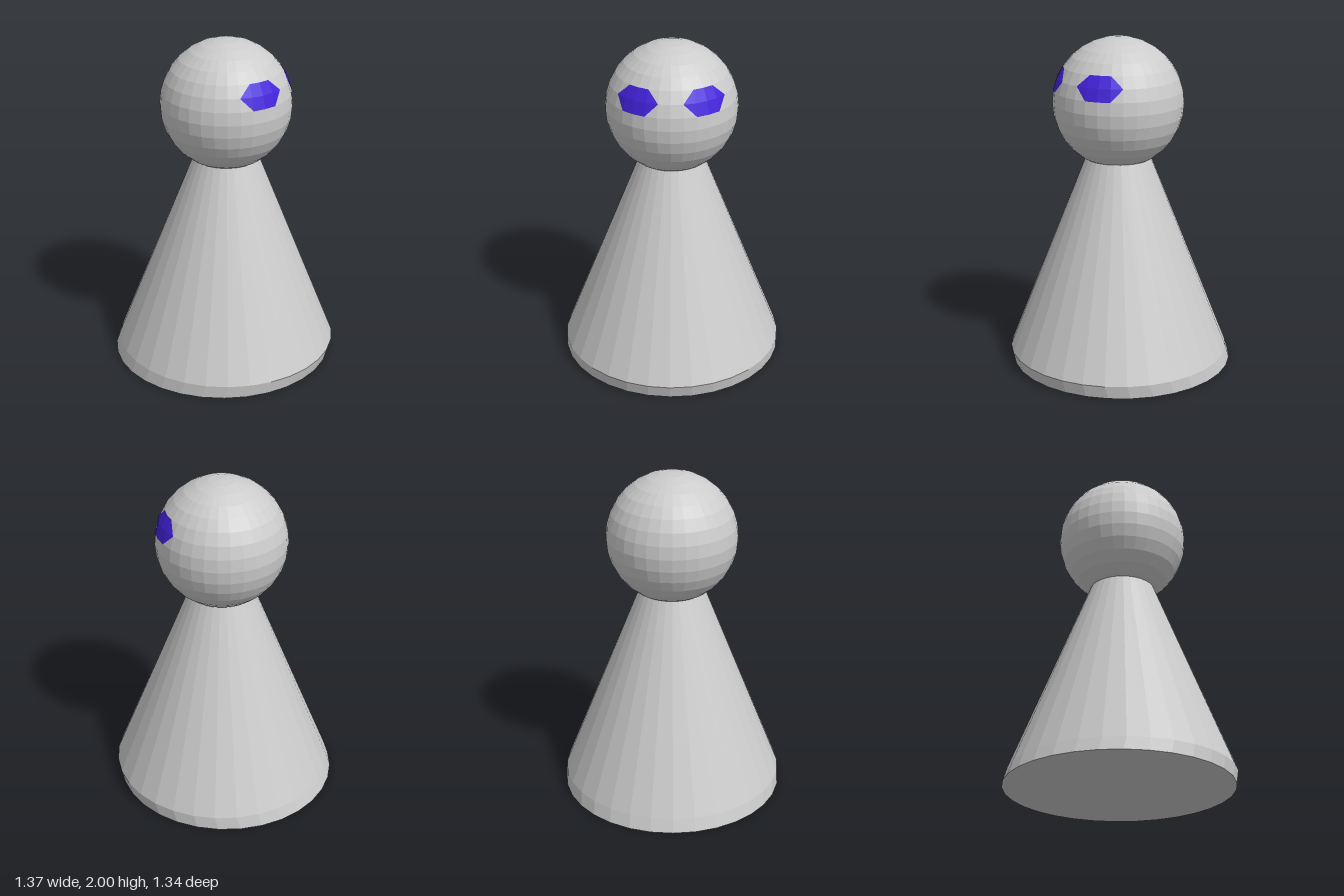
import * as THREE from 'three';

const SIDES = 32, STEP = Math.PI / 16;
const HEAD = { x: 0.0125, y: 1.61, r: 0.39 };

// Point on the head sphere; ring counts down from the pole, column turns from +x towards +z
function headPoint(ring, column, r) {
  const s = Math.sin(ring * STEP);
  return [r * s * Math.cos(column * STEP), r * Math.cos(ring * STEP), r * s * Math.sin(column * STEP)];
}

// Hexagonal patch lying on the head facets, two rings tall and four columns wide
function eyeGeometry() {
  const r = HEAD.r * 1.004, positions = [];
  const tri = (...corners) => corners.forEach(([ring, col]) => positions.push(...headPoint(ring, col, r)));
  for (const edge of [5, 7]) {
    tri([6, 1], [edge, 2], [6, 2]);
    tri([6, 4], [edge, 4], [6, 5]);
    for (const c of [2, 3]) {
      tri([6, c], [edge, c], [edge, c + 1]);
      tri([6, c], [edge, c + 1], [6, c + 1]);
    }
  }
  const geometry = new THREE.BufferGeometry();
  geometry.setAttribute('position', new THREE.Float32BufferAttribute(positions, 3));
  geometry.computeVertexNormals();
  return geometry;
}

export function createModel() {
  const model = new THREE.Group();
  const grey = new THREE.MeshStandardMaterial({ color: 0xcccccc, flatShading: true });
  const blue = new THREE.MeshStandardMaterial({ color: 0x4422dd, flatShading: true, side: THREE.DoubleSide });

  // Conical body with a short rim; the bottom ring is shifted sideways
  const profile = [[0, 0], [0.672, 0], [0.668, 0.08], [0.192, 1.285], [0, 1.285]]
    .map(([x, y]) => new THREE.Vector2(x, y));
  const bodyGeometry = new THREE.LatheGeometry(profile, SIDES);
  const p = bodyGeometry.attributes.position;
  for (let i = 0; i < p.count; i++) p.setX(i, p.getX(i) + (p.getY(i) < 0.01 ? -0.0125 : 0.0125));
  bodyGeometry.computeVertexNormals();
  const body = new THREE.Mesh(bodyGeometry, grey);
  body.name = 'body';
  model.add(body);

  // Round head
  const head = new THREE.Mesh(new THREE.SphereGeometry(HEAD.r, SIDES, SIDES / 2), grey);
  head.name = 'head';
  head.position.set(HEAD.x, HEAD.y, 0);
  model.add(head);

  // Mirrored pair of eyes on the +x side
  for (const side of [1, -1]) {
    const geometry = eyeGeometry();
    geometry.scale(1, 1, side);
    geometry.computeVertexNormals();
    const eye = new THREE.Mesh(geometry, blue);
    eye.name = side > 0 ? 'frontEye' : 'backEye';
    eye.position.copy(head.position);
    model.add(eye);
  }
  return model;
}
